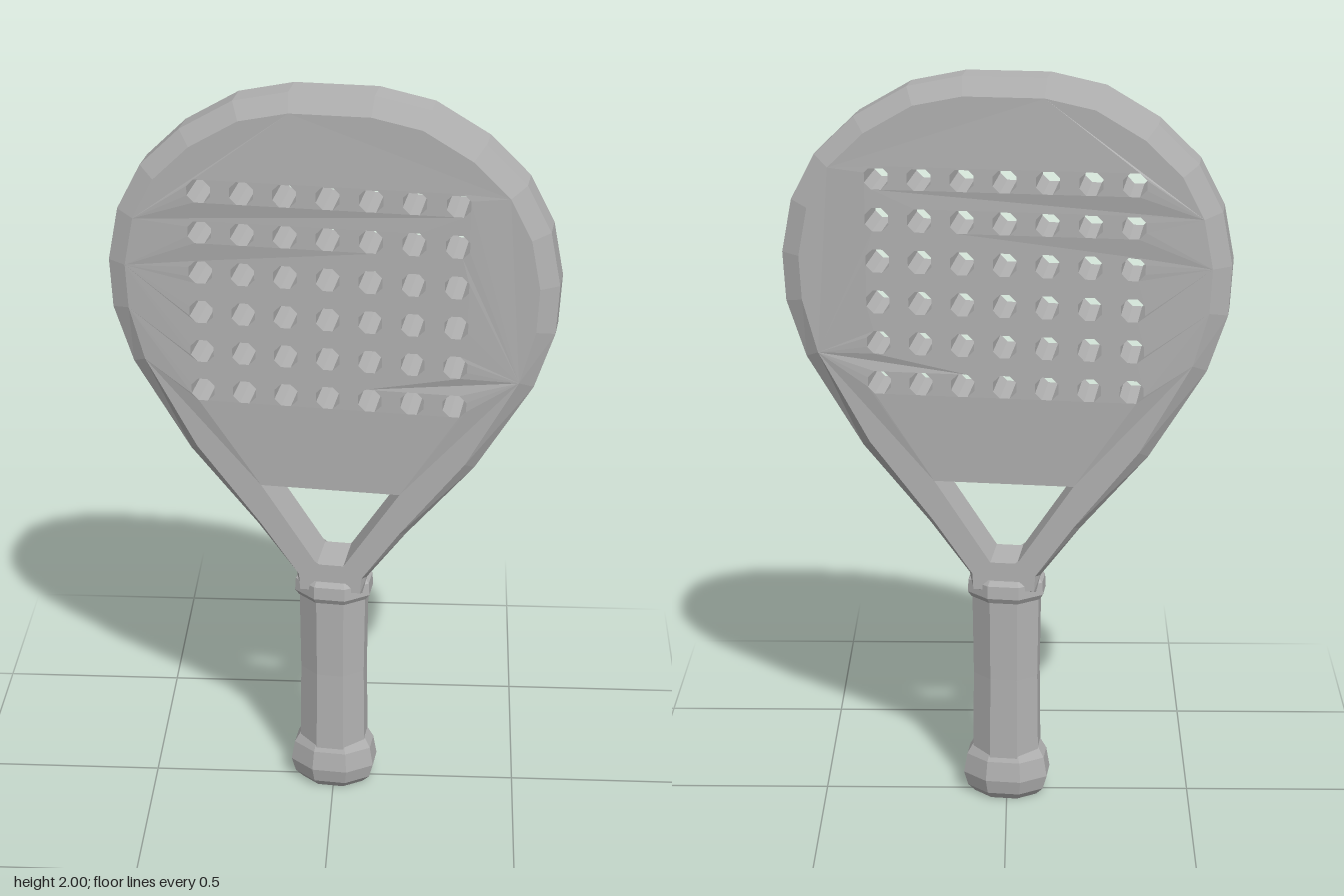
import * as THREE from 'three';

const grey = new THREE.MeshStandardMaterial({ color: 0xb2b2b2, flatShading: true });
grey.name = 'light grey';

// Right half of the frame outline, from the neck up to the top
const half = [
  [0.085, 0.61], [0.095, 0.66], [0.2, 0.8], [0.378, 1.01], [0.525, 1.25], [0.575, 1.4],
  [0.582, 1.53], [0.555, 1.67], [0.492, 1.79], [0.388, 1.89], [0.25, 1.97], [0.108, 2.0],
];

function makeHead() {
  const outline = [...half, ...half.map(([x, y]) => [-x, y]).reverse()]
    .map(([x, y]) => new THREE.Vector2(x, y));
  const shape = new THREE.Shape(outline);

  // Grid of octagonal holes
  for (let row = 0; row < 6; row++) {
    for (let col = 0; col < 7; col++) {
      const pts = [];
      for (let k = 0; k < 8; k++) {
        const a = (k + 0.5) * Math.PI / 4;
        pts.push(new THREE.Vector2(
          (col - 3) * 0.11 - 0.004 + 0.033 * Math.cos(a),
          1.195 + row * 0.109 + 0.033 * Math.sin(a)));
      }
      shape.holes.push(new THREE.Path(pts));
    }
  }

  // Open throat above the handle
  shape.holes.push(new THREE.Path([[-0.185, 0.925], [0.185, 0.925], [0.036, 0.7], [-0.036, 0.7]]
    .map(([x, y]) => new THREE.Vector2(x, y))));

  // Inset position of every outline corner, for the chamfered rim
  const key = (x, y) => x.toFixed(3) + ',' + y.toFixed(3);
  const inset = new Map();
  outline.forEach((p, i) => {
    const n = outline.length;
    const dir = outline[(i + 1) % n].clone().sub(outline[(i + n - 1) % n]).normalize();
    const amount = 0.012 + 0.036 * THREE.MathUtils.clamp((p.y - 0.7) / 0.7, 0, 1);
    inset.set(key(p.x, p.y), new THREE.Vector2(p.x - dir.y * amount, p.y + dir.x * amount));
  });

  // Three layers: chamfer, straight rim, chamfer; the perforated faces bulge slightly
  const geo = new THREE.ExtrudeGeometry(shape, { depth: 3, steps: 3, bevelEnabled: false });
  const pos = geo.attributes.position;
  for (let i = 0; i < pos.count; i++) {
    const x = pos.getX(i), y = pos.getY(i), z = pos.getZ(i) - 1.5;
    const onFace = Math.abs(z) > 1;
    const rim = inset.get(key(x, y));
    let depth = 0.042;
    if (onFace) depth = rim || y < 1 ? 0.068 : 0.077;
    if (onFace && rim) pos.setXY(i, rim.x, rim.y);
    pos.setZ(i, Math.sign(z) * depth);
  }
  geo.computeVertexNormals();
  return geo;
}

// Eight-sided turned part, flattened from front to back
function turned(name, profile, flatten) {
  const pts = profile.map(([r, y]) => new THREE.Vector2(r / Math.cos(Math.PI / 8), y));
  pts[0].x = profile[0][0] && pts[0].x;
  const mesh = new THREE.Mesh(new THREE.LatheGeometry(pts, 8, Math.PI / 8), grey);
  mesh.scale.z = flatten;
  mesh.name = name;
  return mesh;
}

export function createModel() {
  const racket = new THREE.Group();
  racket.name = 'racket';

  const head = new THREE.Mesh(makeHead(), grey);
  head.name = 'head';
  racket.add(head);

  racket.add(
    turned('grip', [[0.09, 0.12], [0.087, 0.36], [0.09, 0.6]], 0.82),
    turned('collar', [[0, 0.585], [0.092, 0.585], [0.102, 0.6], [0.1, 0.635], [0.09, 0.648], [0, 0.648]], 0.8),
    turned('buttCap', [[0, 0], [0.085, 0], [0.104, 0.02], [0.115, 0.06], [0.106, 0.115], [0.09, 0.145], [0, 0.145]], 0.74),
  );

  // The racket is turned slightly about its long axis
  racket.rotation.y = -0.115;
  const model = new THREE.Group();
  model.name = 'padelRacket';
  model.add(racket);
  return model;
}
